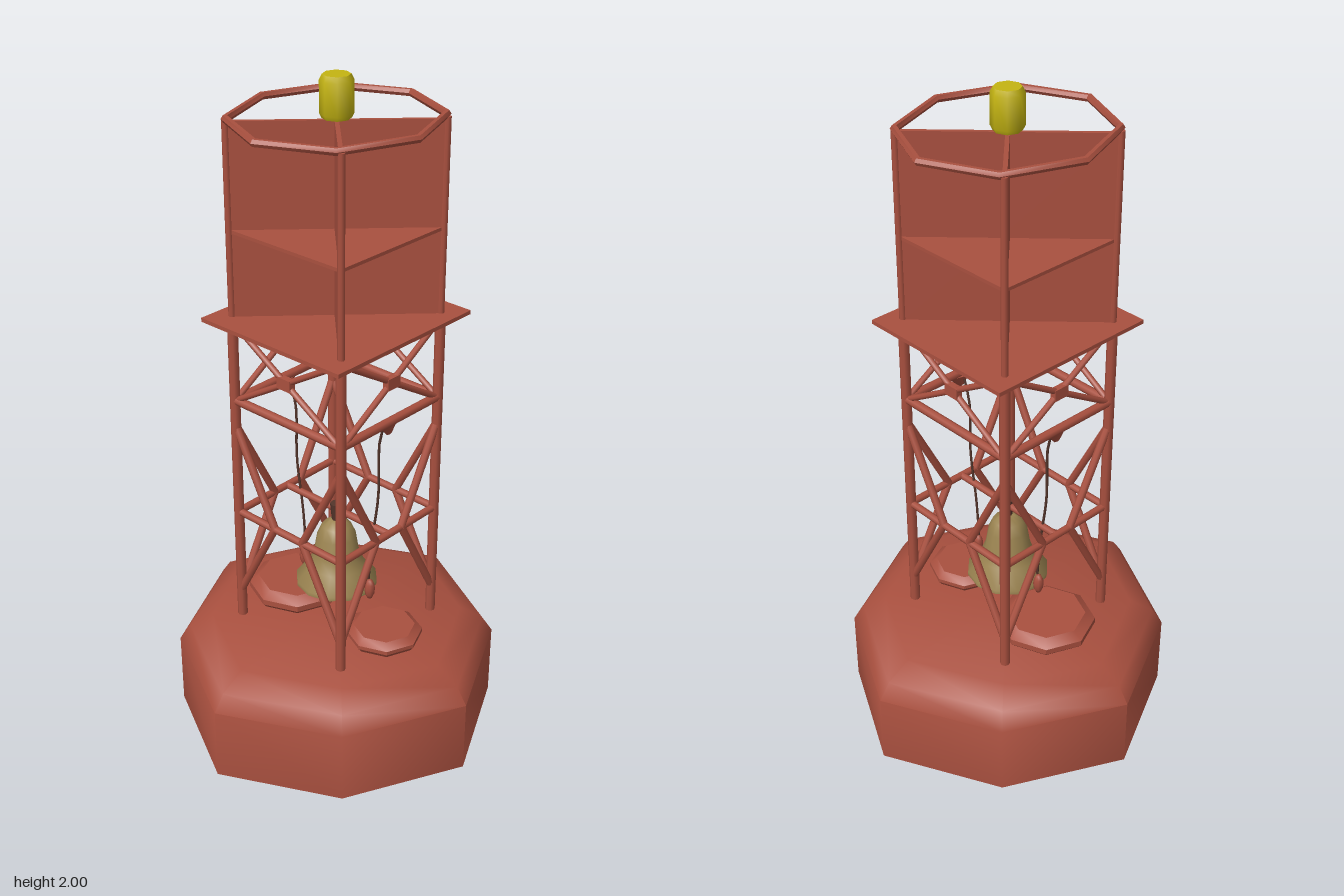
import * as THREE from 'three';
import { toCreasedNormals } from 'three/addons/utils/BufferGeometryUtils.js';

const paint = (color) => new THREE.MeshStandardMaterial({ color });
const red = paint(0xa9503f), brass = paint(0x9a8350), yellow = paint(0xc4b412), dark = paint(0x54352b);
const V = (x, y, z) => new THREE.Vector3(x, y, z);

export function createModel() {
  const root = new THREE.Group();

  const add = (name, geometry, material = red, x = 0, y = 0, z = 0, parent = root) => {
    const mesh = new THREE.Mesh(geometry, material);
    mesh.name = name;
    mesh.position.set(x, y, z);
    parent.add(mesh);
    return mesh;
  };
  const lathe = (points, sides, crease = 0.9) => toCreasedNormals(
    new THREE.LatheGeometry(points.map(([r, y]) => new THREE.Vector2(r, y)), sides), crease);
  // Round bar between two points
  const bar = (name, a, b, r, parent = root, material = red) => {
    const mesh = add(name, new THREE.CylinderGeometry(r, r, a.distanceTo(b), 8), material, 0, 0, 0, parent);
    mesh.position.copy(a).add(b).multiplyScalar(0.5);
    mesh.quaternion.setFromUnitVectors(V(0, 1, 0), b.clone().sub(a).normalize());
    return mesh;
  };

  // Eight-sided float with a rounded shoulder
  const hull = lathe([[0, 0], [0.515, 0], [0.515, 0.23], [0.48, 0.28], [0.405, 0.32], [0, 0.32]], 8, 1.0);
  const p = hull.attributes.position;
  for (let i = 0; i < p.count; i++) {
    const diagonal = Math.min(Math.abs(p.getX(i)), Math.abs(p.getZ(i))) > 0.01;
    const k = diagonal ? 0.94 : 1;
    p.setXYZ(i, p.getX(i) * k, p.getY(i), p.getZ(i) * k * 1.012);
  }
  add('float', toCreasedNormals(hull, 1.0));

  // Deck hatches
  for (const [x, r, h] of [[-0.172, 0.148, 0.055], [0.195, 0.115, 0.045]])
    add('deckHatch', lathe([[r * 0.9, 0], [r, 0.015], [r, h * 0.6], [r * 0.8, h], [0, h]], 8, 0.5), red, x, 0.32, 0);

  // Tower legs and reflector posts
  const L = 0.205;
  for (const x of [-L, L]) for (const z of [-L, L]) {
    bar('leg', V(x, 0.3, z), V(x, 1.32, z), 0.015);
    bar('reflectorPost', V(x, 1.32, z), V(x, 1.885, z), 0.01);
  }

  // Bracing, the same on each of the four faces
  for (let i = 0; i < 4; i++) {
    const face = new THREE.Group();
    face.name = 'towerFace';
    face.rotation.y = i * Math.PI / 2;
    root.add(face);
    bar('upperRail', V(-L, 1.063, L), V(L, 1.063, L), 0.013, face);
    bar('lowerRail', V(-L, 0.69, L), V(L, 0.69, L), 0.011, face);
    for (const s of [-1, 1]) {
      bar('crossBrace', V(s * L, 1.06, L), V(-s * L, 1.31, L), 0.009, face);
      bar('kneeBrace', V(s * L, 0.98, L), V(s * 0.055, 0.69, L), 0.012, face);
      bar('footBrace', V(s * 0.055, 0.69, L), V(s * L, 0.41, L), 0.012, face);
    }
    add('crossJoint', new THREE.BoxGeometry(0.05, 0.035, 0.02), red, 0, 1.185, L, face);
  }

  // Platform and crossed reflector plates
  add('platform', new THREE.BoxGeometry(0.515, 0.012, 0.545), red, 0, 1.32, 0);
  add('reflectorShelf', new THREE.BoxGeometry(2 * L, 0.01, 2 * L), red, 0, 1.575, 0);
  for (const s of [-1, 1])
    add('reflectorPlate', new THREE.BoxGeometry(2 * L * Math.SQRT2, 0.56, 0.012), red, 0, 1.6, 0)
      .rotation.y = s * Math.PI / 4;

  // Octagonal guard ring around the top
  const ring = new THREE.TorusGeometry(0.277, 0.011, 6, 8);
  ring.rotateX(Math.PI / 2);
  ring.scale(1, 1, 1.085);
  add('guardRing', toCreasedNormals(ring, 0.7), red, 0, 1.888, 0);

  // Lamp
  add('lamp', lathe([[0, 0], [0.04, 0], [0.046, 0.012], [0.046, 0.1], [0.038, 0.115], [0, 0.115]], 8, 1),
    yellow, 0, 1.885, 0);

  // Bell with its hanger and crossbar
  const bell = lathe([[0.105, 0.012], [0.125, 0], [0.125, 0.012], [0.085, 0.06], [0.07, 0.1],
    [0.06, 0.16], [0.045, 0.195], [0.02, 0.215], [0, 0.215]], 12, 1);
  const bellMaterial = brass.clone();
  bellMaterial.side = THREE.DoubleSide;
  add('bell', bell, bellMaterial, 0, 0.44, 0);
  add('bellHanger', new THREE.CylinderGeometry(0.02, 0.014, 0.06, 8), dark, 0, 0.68, 0);
  bar('bellCrossbar', V(-L, 0.69, 0), V(L, 0.69, 0), 0.011);
  bar('bellTongue', V(0, 0.425, 0), V(0, 0.6, 0), 0.01, root, dark);

  // Ropes and strikers on both sides of the bell
  for (const s of [-1, 1]) {
    const path = new THREE.CatmullRomCurve3([V(s * 0.185, 1.05, 0), V(s * 0.165, 0.98, 0),
      V(s * 0.163, 0.8, 0), V(s * 0.14, 0.63, 0), V(s * 0.13, 0.5, 0)]);
    add('strikerRope', new THREE.TubeGeometry(path, 14, 0.004, 5), dark);
    add('striker', new THREE.SphereGeometry(0.016, 8, 6), red, s * 0.135, 0.465, 0).scale.y = 2.2;
    const bracket = add('ropeBracket', new THREE.CylinderGeometry(0.04, 0.01, 0.035, 4), red, s * 0.2, 1.038, 0);
    bracket.scale.x = 0.3;
  }
  return root;
}
